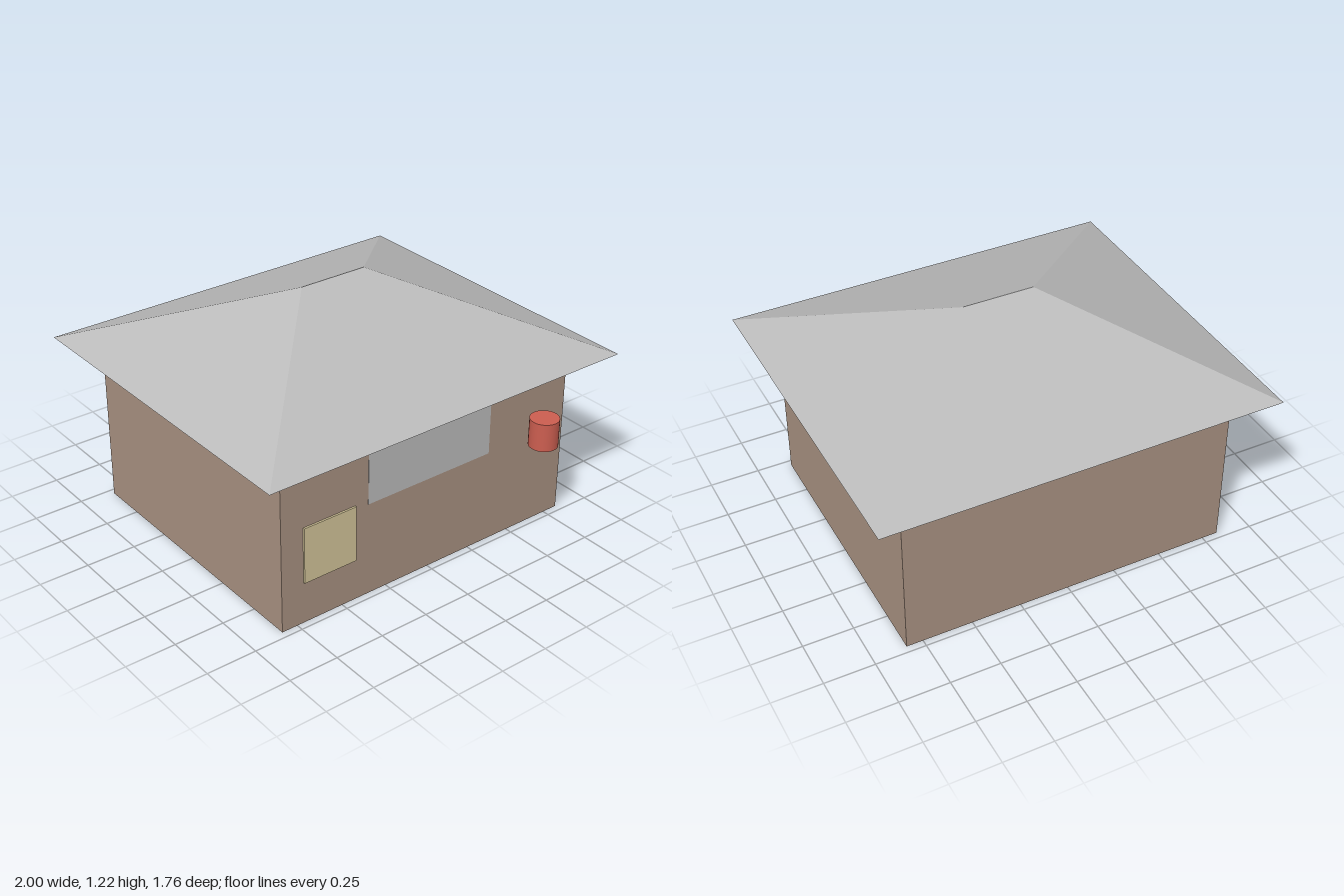
import * as THREE from 'three';

const mat = (name, color) => {
  const m = new THREE.MeshStandardMaterial({ color });
  m.name = name;
  return m;
};

// Hipped roof: eave rectangle rising to a short ridge, closed underneath
function hipRoof(halfX, halfZ, halfRidge, base, top) {
  const points = [
    [-halfX, base, -halfZ], [halfX, base, -halfZ],
    [halfX, base, halfZ], [-halfX, base, halfZ],
    [-halfRidge, top, 0], [halfRidge, top, 0],
  ];
  const faces = [
    3, 2, 5, 3, 5, 4, // front slope
    2, 1, 5, // left hip
    1, 0, 4, 1, 4, 5, // back slope
    0, 3, 4, // right hip
    0, 1, 2, 0, 2, 3, // soffit
  ];
  const geometry = new THREE.BufferGeometry();
  geometry.setAttribute('position', new THREE.Float32BufferAttribute(faces.flatMap(i => points[i]), 3));
  geometry.computeVertexNormals();
  return geometry;
}

export function createModel() {
  const group = new THREE.Group();
  group.name = 'house';
  const wall = mat('wall brown', 0xa89181);
  const roof = mat('roof grey', 0xbbbbbb);
  const cream = mat('panel cream', 0xd3c599);
  const red = mat('lantern red', 0xcc5e50);

  const add = (name, geometry, material, x = 0, y = 0, z = 0) => {
    const mesh = new THREE.Mesh(geometry, material);
    mesh.name = name;
    mesh.position.set(x, y, z);
    group.add(mesh);
  };

  const wallH = 0.86, wallZ = 0.715;
  add('walls', new THREE.BoxGeometry(1.664, wallH, wallZ * 2), wall, 0, wallH / 2, 0);
  add('roof', hipRoof(1, 0.88, 0.18, wallH, 1.215), roof);

  // Details on the front wall
  add('window', new THREE.BoxGeometry(0.714, 0.264, 0.004), roof, 0, 0.611, wallZ);
  add('panel', new THREE.BoxGeometry(0.285, 0.285, 0.0095), cream, -0.572, 0.358, wallZ + 0.0055);
  add('lantern', new THREE.CylinderGeometry(0.071, 0.071, 0.143, 32), red, 0.615, 0.549, 0.81);

  return group;
}
